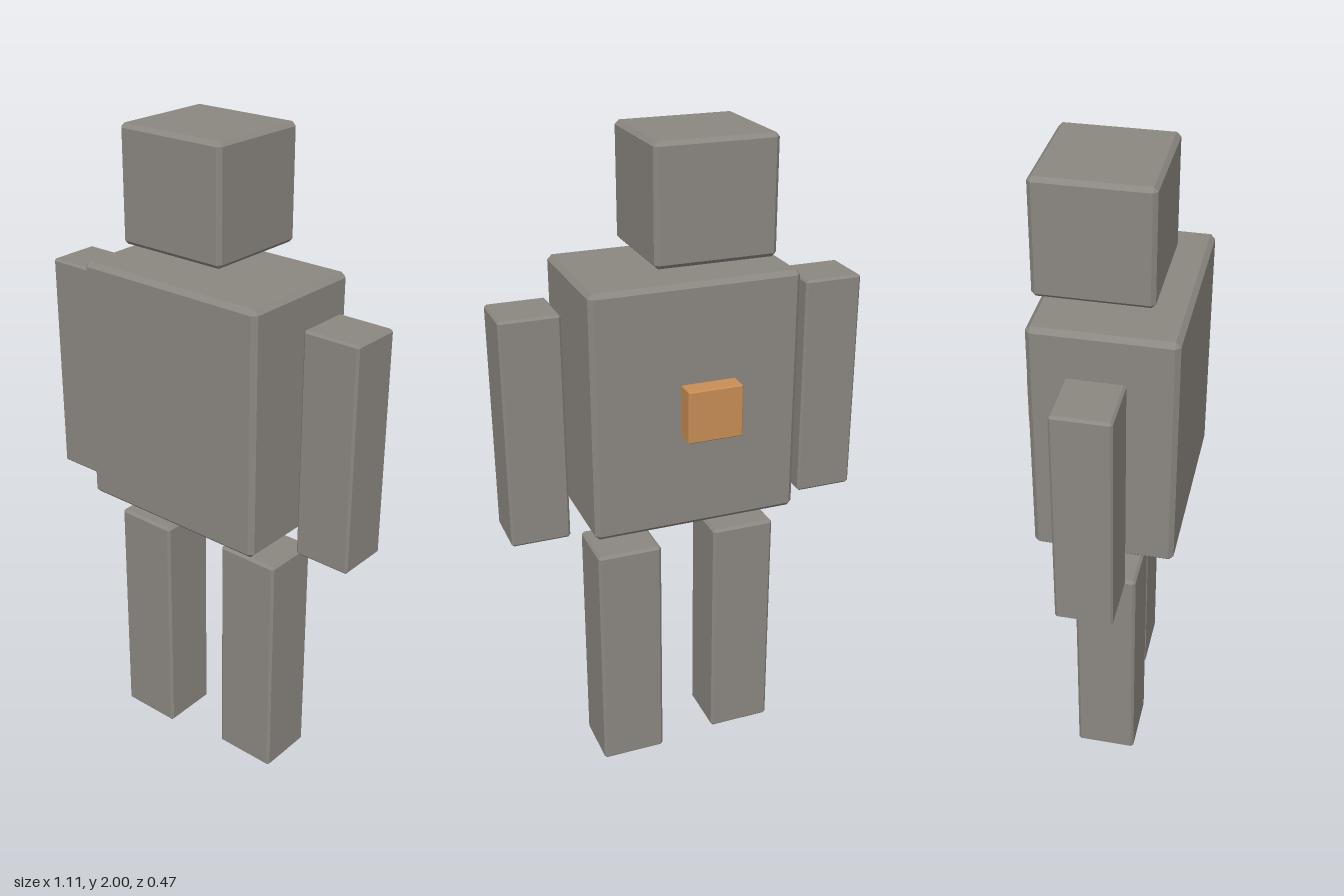
import * as THREE from 'three';
import { ConvexGeometry } from 'three/addons/geometries/ConvexGeometry.js';

// Box with every edge cut by a small flat bevel
function bevelBox(w, h, d, b) {
  const points = [];
  for (const sx of [-1, 1]) for (const sy of [-1, 1]) for (const sz of [-1, 1]) {
    const x = w / 2, y = h / 2, z = d / 2;
    points.push(
      new THREE.Vector3(sx * x, sy * (y - b), sz * (z - b)),
      new THREE.Vector3(sx * (x - b), sy * y, sz * (z - b)),
      new THREE.Vector3(sx * (x - b), sy * (y - b), sz * z)
    );
  }
  return new ConvexGeometry(points);
}

export function createModel() {
  const group = new THREE.Group();
  const stone = new THREE.MeshStandardMaterial({ name: 'stone grey', color: 0x8b8680 });
  const orange = new THREE.MeshStandardMaterial({ name: 'orange', color: 0xc98e55 });

  // Place a bevelled block between its lower and upper limits
  function block(name, [x0, x1], [y0, y1], [z0, z1], bevel, material = stone) {
    const mesh = new THREE.Mesh(bevelBox(x1 - x0, y1 - y0, z1 - z0, bevel), material);
    mesh.name = name;
    mesh.position.set((x0 + x1) / 2, (y0 + y1) / 2, (z0 + z1) / 2);
    group.add(mesh);
  }

  block('head', [-0.219, 0.14], [1.66, 2], [-0.181, 0.152], 0.012);
  block('torso', [-0.298, 0.329], [0.866, 1.613], [-0.181, 0.234], 0.014);

  // Separate limbs, each slightly offset in depth
  block('rightArm', [-0.558, -0.379], [0.839, 1.533], [-0.055, 0.111], 0.007);
  block('leftArm', [0.376, 0.554], [0.839, 1.533], [-0.077, 0.088], 0.007);
  block('rightLeg', [-0.29, -0.09], [0, 0.756], [-0.062, 0.123], 0.008);
  block('leftLeg', [0.096, 0.297], [0, 0.756], [-0.094, 0.091], 0.008);

  // Small block on the back
  block('backSwitch', [-0.1, 0.065], [1.16, 1.318], [-0.238, -0.17], 0.003, orange);

  return group;
}
